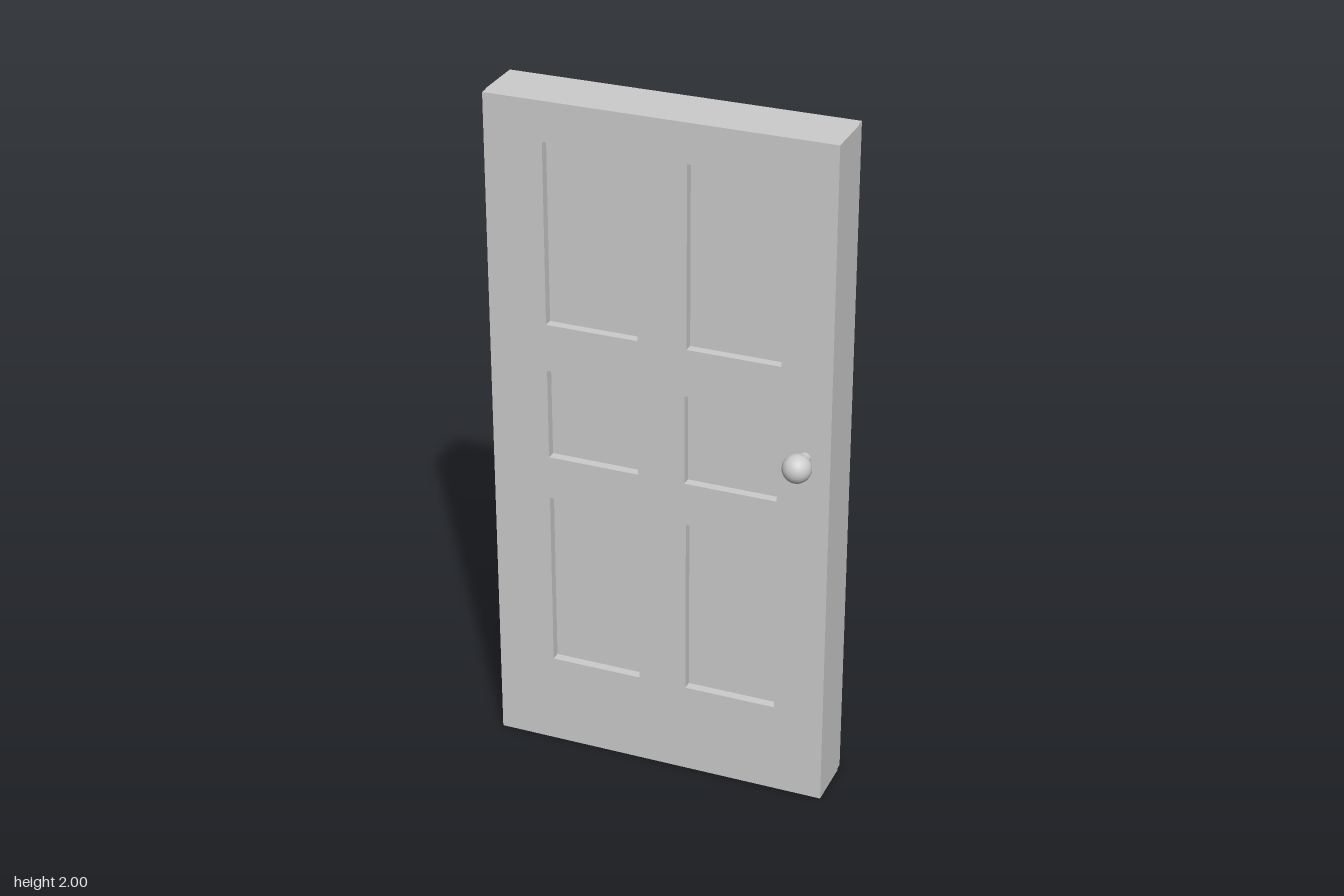
import * as THREE from 'three';

const material = new THREE.MeshStandardMaterial({ color: 0xcccccc });

function addMesh(parent, name, geometry, x = 0, y = 0, z = 0) {
  const mesh = new THREE.Mesh(geometry, material);
  mesh.name = name;
  mesh.position.set(x, y, z);
  parent.add(mesh);
  return mesh;
}

// Counter-clockwise rectangle from two corners
function rectangle(PathType, x0, y0, x1, y1) {
  return new PathType([[x0, y0], [x1, y0], [x1, y1], [x0, y1]].map(([x, y]) => new THREE.Vector2(x, y)));
}

export function createModel() {
  const door = new THREE.Group();
  door.name = 'door';
  const height = 2, half = 0.09, plate = 0.027, step = 0.003;

  // Solid core, whose faces are the floors of the recessed panels
  addMesh(door, 'core', new THREE.BoxGeometry(1, height, 2 * (half - plate)), 0, height / 2, 0);

  // Face plate with six panel openings; one edge sits slightly in from the core
  const face = rectangle(THREE.Shape, -0.5 + step, 0, 0.5, height);
  for (const [y0, y1, shift] of [[0.275, 0.81, 0], [0.94, 1.21, -0.005], [1.35, 1.885, 0]]) {
    face.holes.push(rectangle(THREE.Path, -0.327, y0, -0.057, y1));
    face.holes.push(rectangle(THREE.Path, 0.085 + shift, y0, 0.355 + shift, y1));
  }
  const plateGeometry = new THREE.ExtrudeGeometry(face, { depth: plate, bevelEnabled: false });
  addMesh(door, 'frontPlate', plateGeometry, 0, 0, half - plate);
  // The back plate is the same part turned half around
  addMesh(door, 'backPlate', plateGeometry, 0, 0, plate - half).rotation.y = Math.PI;

  // Round knob on a short neck, on both faces
  const neck = new THREE.CylinderGeometry(0.018, 0.018, 0.07, 24).rotateX(Math.PI / 2);
  const ball = new THREE.SphereGeometry(0.041, 32, 20);
  for (const [name, side] of [['frontKnob', 1], ['backKnob', -1]]) {
    const knob = new THREE.Group();
    knob.name = name;
    knob.position.set(0.427, 1.09, 0);
    addMesh(knob, 'neck', neck, 0, 0, side * 0.105);
    addMesh(knob, 'ball', ball, 0, 0, side * 0.15);
    door.add(knob);
  }

  // The slab sits a hair behind the centre of the knobs
  for (const part of door.children) if (part.isMesh) part.position.z -= 0.002;
  return door;
}
